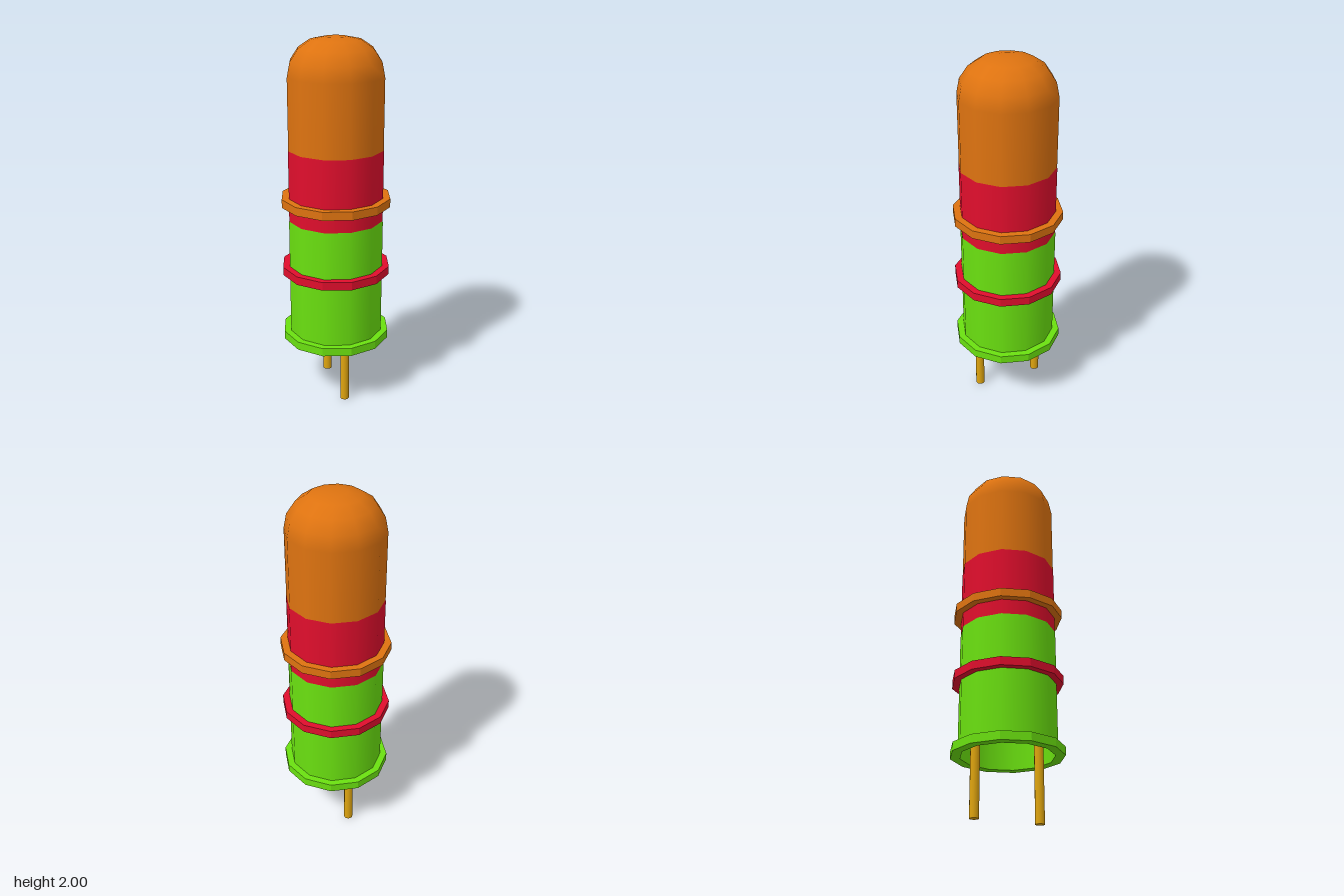
import * as THREE from 'three';

const SIDES = 12;
const SPACING = 0.39;

// One hollow cup: domed shell with a flat-sided flange round its open foot
function makeCup(name, color, radius) {
  const cup = new THREE.Group();
  cup.name = name;
  const smooth = new THREE.MeshStandardMaterial({ color });
  const faceted = new THREE.MeshStandardMaterial({ color, flatShading: true });
  const v = (x, y) => new THREE.Vector2(x, y);
  const add = (part, points, material) => {
    const mesh = new THREE.Mesh(new THREE.LatheGeometry(points, SIDES), material);
    mesh.name = part;
    cup.add(mesh);
  };

  // Straight wall, rounded shoulder, small flat crown
  const shell = (r, wallTop, fillet) => {
    const points = [v(r, 0)];
    for (let i = 0; i <= 4; i++) {
      const a = (i / 4) * Math.PI / 2;
      points.push(v(r - fillet + fillet * Math.cos(a), wallTop + fillet * Math.sin(a)));
    }
    points.push(v(0, wallTop + fillet));
    return points;
  };
  add('outerShell', shell(radius, 0.69, 0.2), smooth);
  add('innerShell', shell(0.248, 0.69, 0.19).reverse(), smooth);

  // Flange ring
  add('flange', [v(0.248, 0), v(0.3, 0), v(0.3, 0.046), v(0.25, 0.046)], faceted);
  return cup;
}

export function createModel() {
  const model = new THREE.Group();
  model.name = 'stackedSignalLamp';

  // Three nested cups, each a hair slimmer than the one below
  const cups = [['lowerCup', 0x6ae010], ['middleCup', 0xe00e2c], ['upperCup', 0xde7310]];
  cups.forEach(([name, color], i) => {
    const cup = makeCup(name, color, 0.262 - i * 0.0015);
    cup.position.y = 0.33 + i * SPACING;
    model.add(cup);
  });

  // Two contact pins, front and back
  const brass = new THREE.MeshStandardMaterial({ color: 0xe0a50f });
  const pinHeight = 0.75;
  for (const side of [1, -1]) {
    const pin = new THREE.Mesh(new THREE.CylinderGeometry(0.025, 0.025, pinHeight, SIDES), brass);
    pin.name = side > 0 ? 'frontPin' : 'backPin';
    pin.position.set(0, pinHeight / 2, side * 0.178);
    model.add(pin);
  }
  return model;
}
